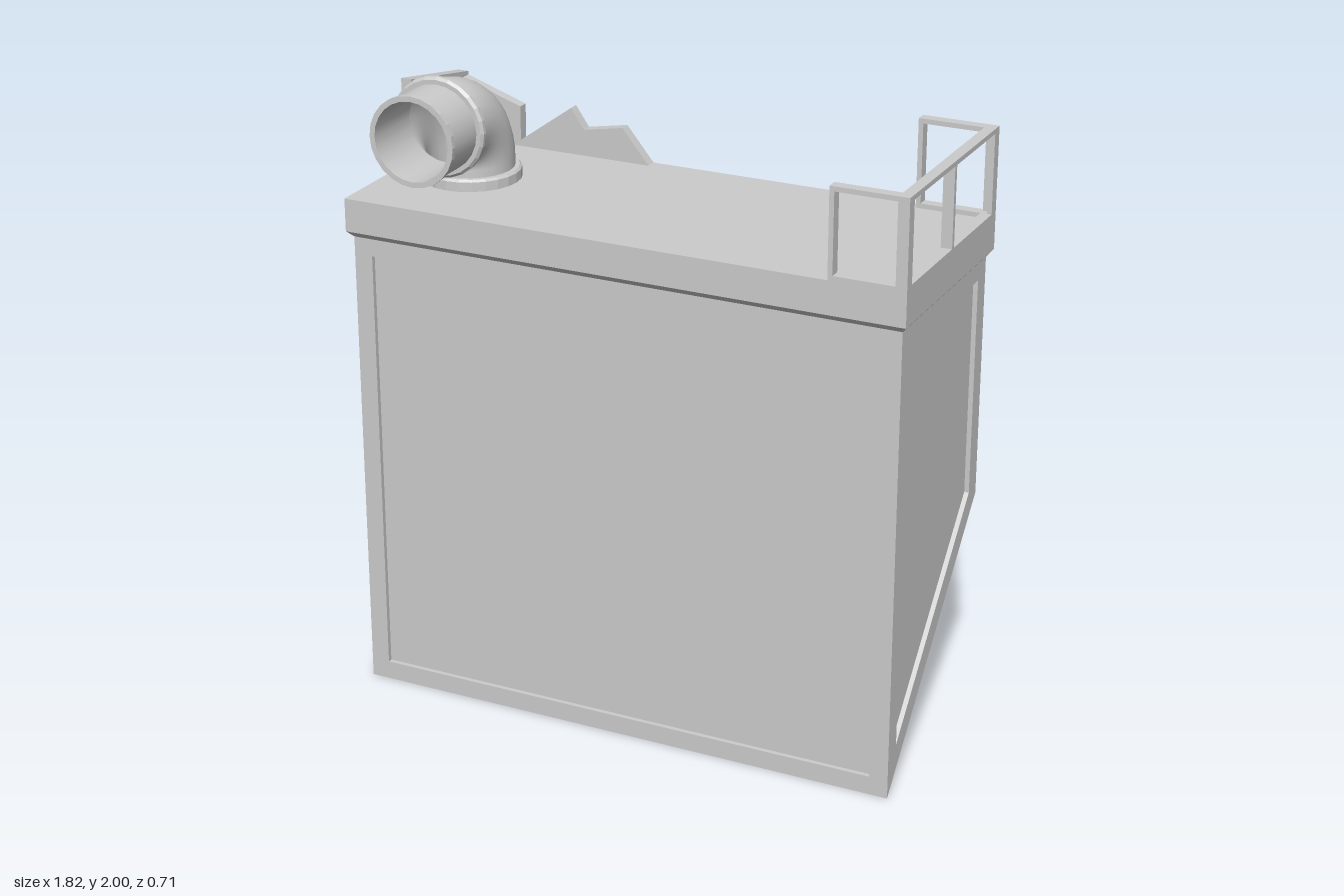
import * as THREE from 'three';

const grey = new THREE.MeshStandardMaterial({ color: 0xcccccc, side: THREE.DoubleSide });
const flat = new THREE.MeshStandardMaterial({ color: 0xcccccc, side: THREE.DoubleSide, flatShading: true });
const V = (x, y, z) => new THREE.Vector3(x, y, z);
const TOP = 1.63, WALL = 0.035;

function add(parent, name, geometry, material, x = 0, y = 0, z = 0) {
  const mesh = new THREE.Mesh(geometry, material);
  mesh.name = name;
  mesh.position.set(x, y, z);
  parent.add(mesh);
  return mesh;
}

// Flat convex face (counter-clockwise corners) with a sunken panel inside a border
function panelFace(corners, border = 0.06, depth = 0.015) {
  const n = corners.length;
  const edge = i => corners[(i + 1) % n].clone().sub(corners[i % n]).normalize();
  const normal = edge(0).cross(edge(1)).normalize();
  const inner = corners.map((c, i) => {
    const a = normal.clone().cross(edge(i + n - 1)), b = normal.clone().cross(edge(i));
    return c.clone().addScaledVector(a.clone().add(b), border / (1 + a.dot(b)));
  });
  const sunk = inner.map(p => p.clone().addScaledVector(normal, -depth));
  const pts = [];
  const quad = (a, b, c, d) => pts.push(a, b, c, a, c, d);
  for (let i = 0; i < n; i++) {
    const j = (i + 1) % n;
    quad(corners[i], corners[j], inner[j], inner[i]);
    quad(inner[i], inner[j], sunk[j], sunk[i]);
    if (i > 0 && j > 0) pts.push(sunk[0], sunk[i], sunk[j]);
  }
  const g = new THREE.BufferGeometry().setFromPoints(pts);
  g.computeVertexNormals();
  return g;
}

const polygon = pts => new THREE.Shape(pts.map(p => new THREE.Vector2(...p)));
const rect = (x0, y0, x1, y1) => [[x0, y0], [x1, y0], [x1, y1], [x0, y1]];
const plate = shape => new THREE.ExtrudeGeometry(shape, { depth: WALL, bevelEnabled: false });

// Rectangular rail frame with one or more openings between thin bars
function railFrame(a, b, openings) {
  const bar = 0.015, top = 1.91;
  const shape = polygon(rect(a, TOP, b, top));
  const step = (b - a - bar) / openings;
  for (let i = 0; i < openings; i++) {
    const x = a + i * step;
    shape.holes.push(polygon(rect(x + bar, TOP + bar, x + step, top - bar)));
  }
  return plate(shape);
}

const lathe = pts => new THREE.LatheGeometry(pts.map(p => new THREE.Vector2(...p)), 24);

export function createModel() {
  const model = new THREE.Group();
  model.name = 'hopperTank';

  // Body: wedge-bottomed tank with a sunken panel on every face
  const body = new THREE.Group();
  body.name = 'body';
  model.add(body);
  const X = 0.893, Z = 0.335, H = 1.51, K = 0.73;
  const faces = {
    frontPanel: [V(-X, 0, Z), V(X, 0, Z), V(X, H, Z), V(-X, H, Z)],
    backPanel: [V(X, K, -Z), V(-X, K, -Z), V(-X, H, -Z), V(X, H, -Z)],
    slopePanel: [V(X, 0, Z), V(-X, 0, Z), V(-X, K, -Z), V(X, K, -Z)],
    leftPanel: [V(X, 0, Z), V(X, K, -Z), V(X, H, -Z), V(X, H, Z)],
    rightPanel: [V(-X, 0, Z), V(-X, H, Z), V(-X, H, -Z), V(-X, K, -Z)],
  };
  for (const [name, corners] of Object.entries(faces)) add(body, name, panelFace(corners), flat);

  // Roof slab with a chamfered underside
  add(model, 'roofSlab', new THREE.BoxGeometry(1.82, 0.105, 0.71), flat, 0, 1.5775, 0);
  const chamfer = new THREE.BoxGeometry(1.82, 0.02, 0.71);
  const p = chamfer.attributes.position;
  for (let i = 0; i < p.count; i++) {
    if (p.getY(i) < 0) p.setXYZ(i, Math.sign(p.getX(i)) * X, p.getY(i), Math.sign(p.getZ(i)) * Z);
  }
  add(model, 'roofChamfer', chamfer, flat, 0, 1.515, 0);

  // Railing round the left end of the roof
  const railing = new THREE.Group();
  railing.name = 'railing';
  model.add(railing);
  add(railing, 'sideRail', railFrame(-0.355, 0.355, 2), flat, 0.91).rotation.y = -Math.PI / 2;
  add(railing, 'frontRail', railFrame(0.67, 0.91, 1), flat, 0, 0, 0.355 - WALL);
  add(railing, 'backRail', railFrame(0.67, 0.91, 1), flat, 0, 0, -0.355);

  // Broken parapet at the right back corner
  const parapet = new THREE.Group();
  parapet.name = 'brokenParapet';
  model.add(parapet);
  add(parapet, 'backParapet', plate(polygon([
    [-0.91, TOP], [-0.22, TOP], [-0.31, 1.74], [-0.445, 1.715], [-0.49, 1.78],
    [-0.67, 1.65], [-0.67, 1.76], [-0.91, 1.84],
  ])), flat, 0, 0, -0.355);
  add(parapet, 'sideParapet', plate(polygon([
    [-0.355, TOP], [0, TOP], [0, 1.91], [-0.355, 1.84],
  ])), flat, -0.91 + WALL).rotation.y = -Math.PI / 2;

  // Elbow pipe: upright base, quarter bend, open mouth facing forward
  const pipe = new THREE.Group();
  pipe.name = 'elbowPipe';
  pipe.position.set(-0.67, 0, 0);
  model.add(pipe);
  const R = 0.136, cy = 1.842, bend = 0.15;
  add(pipe, 'pipeBase', lathe([[R, TOP], [R, cy - bend]]), grey);
  add(pipe, 'baseFlange', lathe([[R, 1.667], [0.15, 1.667], [0.157, 1.66], [0.157, TOP]].reverse()), flat);
  add(pipe, 'pipeBend', new THREE.TorusGeometry(bend, R, 24, 10, Math.PI / 2), grey, 0, cy - bend, bend)
    .rotation.y = Math.PI / 2;
  add(pipe, 'pipeOutside', lathe([[R, bend], [R, 0.34]]), grey, 0, cy).rotation.x = Math.PI / 2;
  add(pipe, 'pipeInside', lathe([[0.125, 0.355], [0.125, bend], [R, bend]]), grey, 0, cy).rotation.x = Math.PI / 2;
  add(pipe, 'mouthLip', lathe([[R, 0.338], [0.142, 0.34], [0.142, 0.355], [0.125, 0.355]]), flat, 0, cy)
    .rotation.x = Math.PI / 2;
  add(pipe, 'pipeCollar', lathe([[R, 0.174], [0.15, 0.174], [0.158, 0.182], [0.158, 0.194], [0.15, 0.202], [R, 0.202]]), flat, 0, cy)
    .rotation.x = Math.PI / 2;

  return model;
}
